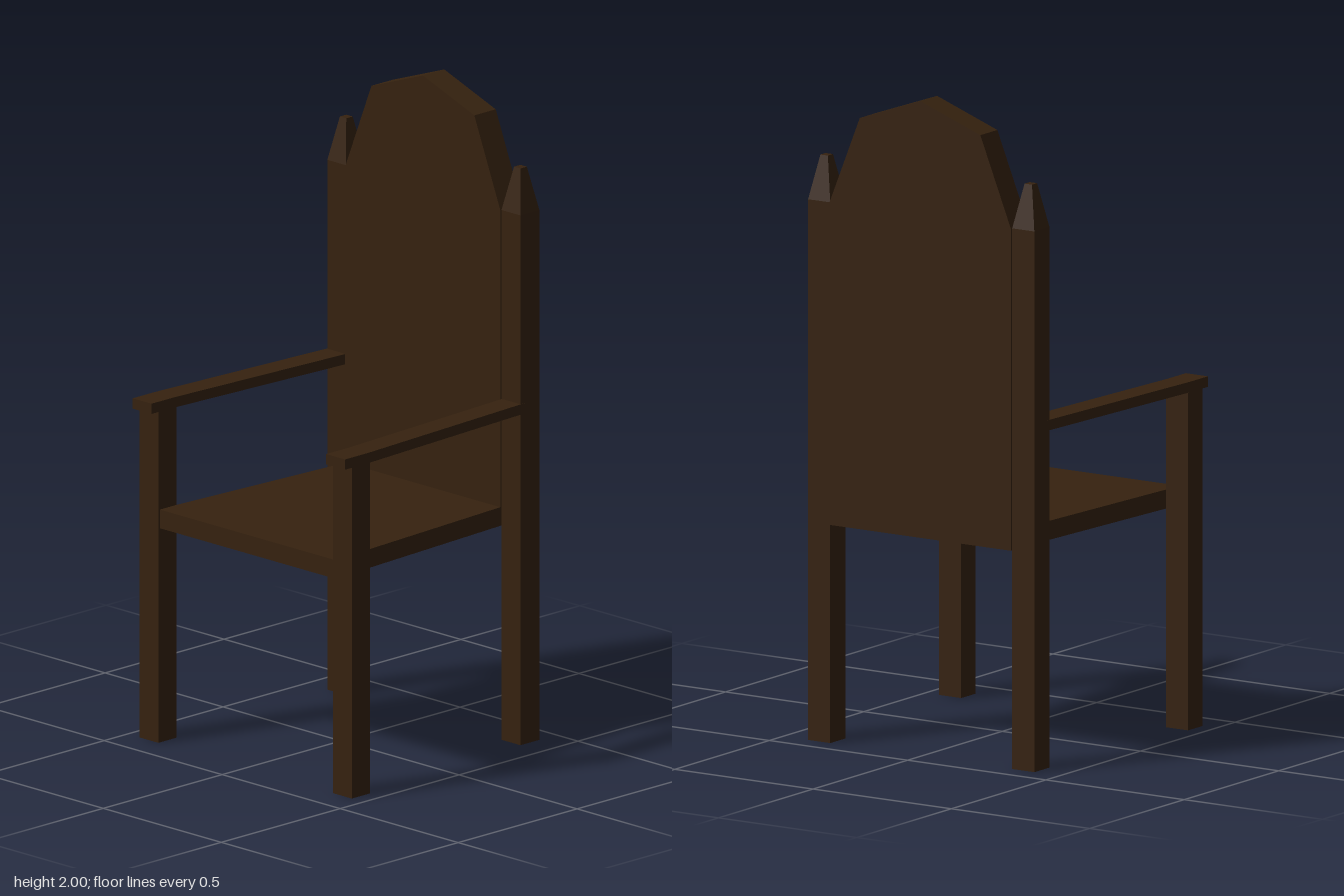
import * as THREE from 'three';

export function createModel() {
  const group = new THREE.Group();
  group.name = 'chair';
  const wood = new THREE.MeshStandardMaterial({ color: 0x36220f });
  wood.name = 'darkWood';

  const add = (geometry, name, x = 0, y = 0, z = 0) => {
    const mesh = new THREE.Mesh(geometry, wood);
    mesh.name = name;
    mesh.position.set(x, y, z);
    group.add(mesh);
    return mesh;
  };
  const shapeOf = (points) => new THREE.Shape(points.map(([x, y]) => new THREE.Vector2(x, y)));
  const extrude = (points, depth) =>
    new THREE.ExtrudeGeometry(shapeOf(points), { depth, bevelEnabled: false });
  // Flat slab from an outline given as [x, z], thickness upwards
  const slab = (points, thickness) =>
    extrude(points.map(([x, z]) => [x, -z]), thickness).rotateX(-Math.PI / 2);

  // Seat, narrowing towards the back
  add(slab([[-0.37, 0.395], [0.37, 0.395], [0.37, 0.335], [0.328, -0.345],
    [-0.328, -0.345], [-0.37, 0.335]], 0.058), 'seat', 0, 0.667, 0);

  // Back panel with a faceted, pointed top
  add(extrude([[-0.328, 0.667], [0.328, 0.667], [0.328, 1.65], [0.218, 1.922], [0, 2],
    [-0.218, 1.922], [-0.328, 1.65]], 0.09), 'backPanel', 0, 0, -0.434);

  for (const side of [1, -1]) {
    const label = side > 0 ? 'left' : 'right';

    // Front leg, up to the armrest
    add(new THREE.BoxGeometry(0.08, 1.03, 0.077), label + 'FrontLeg', side * 0.41, 0.515, 0.363);

    // Back post with a tapered, blunt tip
    add(new THREE.BoxGeometry(0.08, 1.65, 0.08), label + 'BackPost', side * 0.369, 0.825, -0.388);
    const r = Math.SQRT1_2;
    const tip = new THREE.CylinderGeometry(0.027 * r, 0.08 * r, 0.135, 4, 1)
      .rotateY(Math.PI / 4).toNonIndexed();
    tip.computeVertexNormals();
    add(tip, label + 'PostTip', side * 0.369, 1.7175, -0.388);

    // Armrest, splayed outwards and squared off over the front leg
    const outline = [[0.37, 0.43], [0.45, 0.43], [0.45, 0.335], [0.41, -0.365],
      [0.331, -0.345], [0.37, 0.335]].map(([x, z]) => [side * x, z]);
    add(slab(outline, 0.032), label + 'Armrest', 0, 1.03, 0);
  }
  return group;
}
